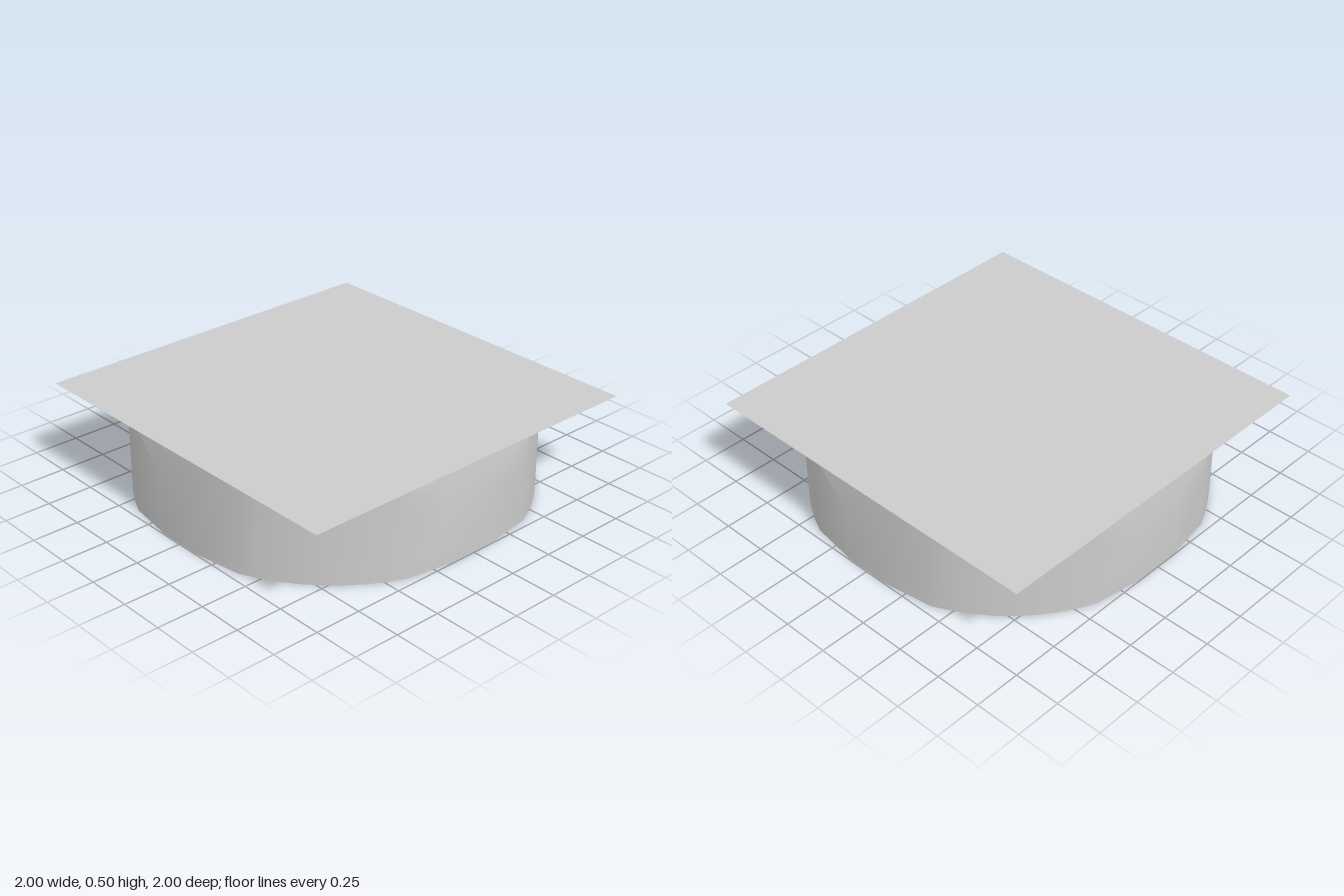
import * as THREE from 'three';
import { toCreasedNormals } from 'three/addons/utils/BufferGeometryUtils.js';

const HEIGHT = 0.5;
const RADIUS = 1.033;         // rounded corners
const PANEL_HALF = 0.128;     // small flat panel in the middle of each side
const PANEL_TOP = 0.31;
const PANEL_DIST = 0.995;
const CORNER = Math.PI / 8;   // each corner arc runs from 22.5 to 67.5 degrees
const ARC_STEPS = 8;

// Outline of one level: four sides, each a panel followed by a corner arc.
// At the rim the panel points close up onto the ends of the straight side.
function ring(y, isRim) {
  const points = [];
  const up = new THREE.Vector3(0, 1, 0);
  for (let side = 0; side < 4; side++) {
    const add = (x, z) =>
      points.push(new THREE.Vector3(x, y, z).applyAxisAngle(up, side * Math.PI / 2));
    for (const s of [-1, 1]) {
      if (isRim) add(s * RADIUS * Math.sin(CORNER), RADIUS * Math.cos(CORNER));
      else add(s * PANEL_HALF, PANEL_DIST);
    }
    for (let i = 0; i <= ARC_STEPS; i++) {
      const a = CORNER + (i / ARC_STEPS) * Math.PI / 4;
      add(RADIUS * Math.sin(a), RADIUS * Math.cos(a));
    }
  }
  return points;
}

function bodyGeometry() {
  const rings = [ring(0, false), ring(PANEL_TOP, false), ring(HEIGHT, true)];
  const n = rings[0].length;
  const positions = [];
  const triangle = (a, b, c) => {
    const area = b.clone().sub(a).cross(c.clone().sub(a)).length();
    if (area > 1e-6) for (const p of [a, b, c]) positions.push(p.x, p.y, p.z);
  };
  const centre = new THREE.Vector3(0, 0, 0);
  for (let i = 0; i < n; i++) {
    const j = (i + 1) % n;
    // walls
    for (let k = 0; k < 2; k++) {
      const low = rings[k], high = rings[k + 1];
      triangle(low[i], low[j], high[j]);
      triangle(low[i], high[j], high[i]);
    }
    // closed underside
    triangle(centre, rings[0][j], rings[0][i]);
  }
  const geometry = new THREE.BufferGeometry();
  geometry.setAttribute('position', new THREE.Float32BufferAttribute(positions, 3));
  return toCreasedNormals(geometry, 0.35);
}

export function createModel() {
  const group = new THREE.Group();
  const material = new THREE.MeshStandardMaterial({ color: 0xcccccc, side: THREE.DoubleSide });

  // Round body with flattened sides
  const body = new THREE.Mesh(bodyGeometry(), material);
  body.name = 'body';
  group.add(body);

  // Thin square plate lying on the rim
  const plate = new THREE.Mesh(new THREE.PlaneGeometry(2, 2).rotateX(-Math.PI / 2), material);
  plate.name = 'topPlate';
  plate.position.y = HEIGHT;
  group.add(plate);

  return group;
}
